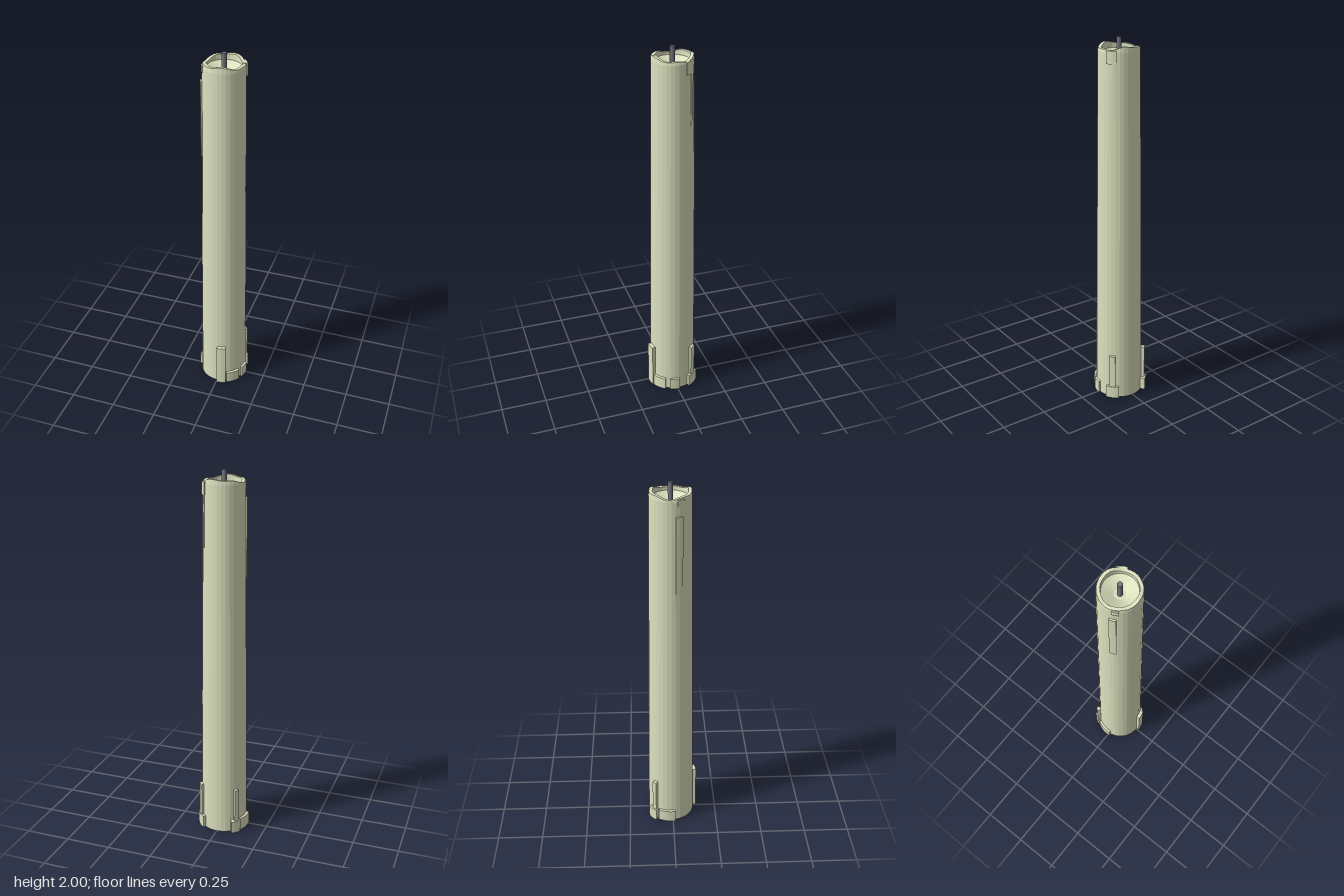
import * as THREE from 'three';

const rad = THREE.MathUtils.degToRad;

export function createModel() {
  const model = new THREE.Group();
  const wax = new THREE.MeshStandardMaterial({ color: 0xdde2bf, flatShading: true });
  const dark = new THREE.MeshStandardMaterial({ color: 0x777580 });

  const candle = new THREE.Group();
  candle.name = 'candle';
  candle.position.set(0.001, 0, -0.01);
  model.add(candle);

  const add = (name, geometry, material) => {
    const mesh = new THREE.Mesh(geometry, material);
    mesh.name = name;
    candle.add(mesh);
    return mesh;
  };

  // Tapered body with a shallow melted bowl; the rim rises and dips around the edge
  const rimY = 1.953;
  const profile = [
    [0, 0], [0.13, 0], [0.108, 1.935], [0.105, rimY], [0.088, rimY],
    [0.086, 1.93], [0.028, 1.9], [0, 1.9],
  ].map(([r, y]) => new THREE.Vector2(r, y));
  const body = new THREE.LatheGeometry(profile, 32);
  const p = body.attributes.position;
  for (let i = 0; i < p.count; i++) {
    if (Math.abs(p.getY(i) - rimY) > 0.001) continue;
    const a = Math.atan2(p.getZ(i), p.getX(i));
    p.setY(i, rimY - 0.008 * Math.cos(2 * a) + 0.004 * Math.sin(5 * a + 1));
  }
  body.computeVertexNormals();
  add('body', body, wax);

  // A wax run: a ring sector between two angles (from +x towards +z), from y0 up to y1
  const drip = (name, from, to, r, y0, y1, inner = 0.092) => {
    const shape = new THREE.Shape();
    shape.absarc(0, 0, r, rad(from), rad(to), false);
    shape.absarc(0, 0, inner, rad(to), rad(from), true);
    const geo = new THREE.ExtrudeGeometry(shape, { depth: y1 - y0, bevelEnabled: false, curveSegments: 4 });
    geo.rotateX(Math.PI / 2).translate(0, y1, 0);
    add(name, geo, wax);
  };

  // Low pools of wax around the foot
  [
    [171, 211, 0.143], [215, 235, 0.155], [-55, -24, 0.146], [0, 23, 0.141], [34, 66, 0.143],
  ].forEach(([from, to, r]) => drip('footDrip', from, to, r, 0, 0.07));

  // Tall runs rising from the foot
  drip('tallDripFront', 68, 89, 0.147, 0, 0.26);
  drip('tallDripBackLeft', -46, -31, 0.142, 0, 0.26);
  drip('tallDripBackRight', 217, 227, 0.147, 0, 0.26);

  // Runs spilling from the rim
  drip('rimDripRight', 144, 162, 0.112, 1.91, 1.945);
  drip('longDripRight', 150, 168, 0.118, 1.45, 1.86);
  drip('rimDripLeft', -48, -20, 0.115, 1.88, 1.945);
  drip('longDripLeft', -45, -37, 0.1135, 1.61, 1.88);

  // Wick
  const wick = add('wick', new THREE.CylinderGeometry(0.013, 0.013, 0.11, 16), dark);
  wick.position.y = 1.945;

  return model;
}
